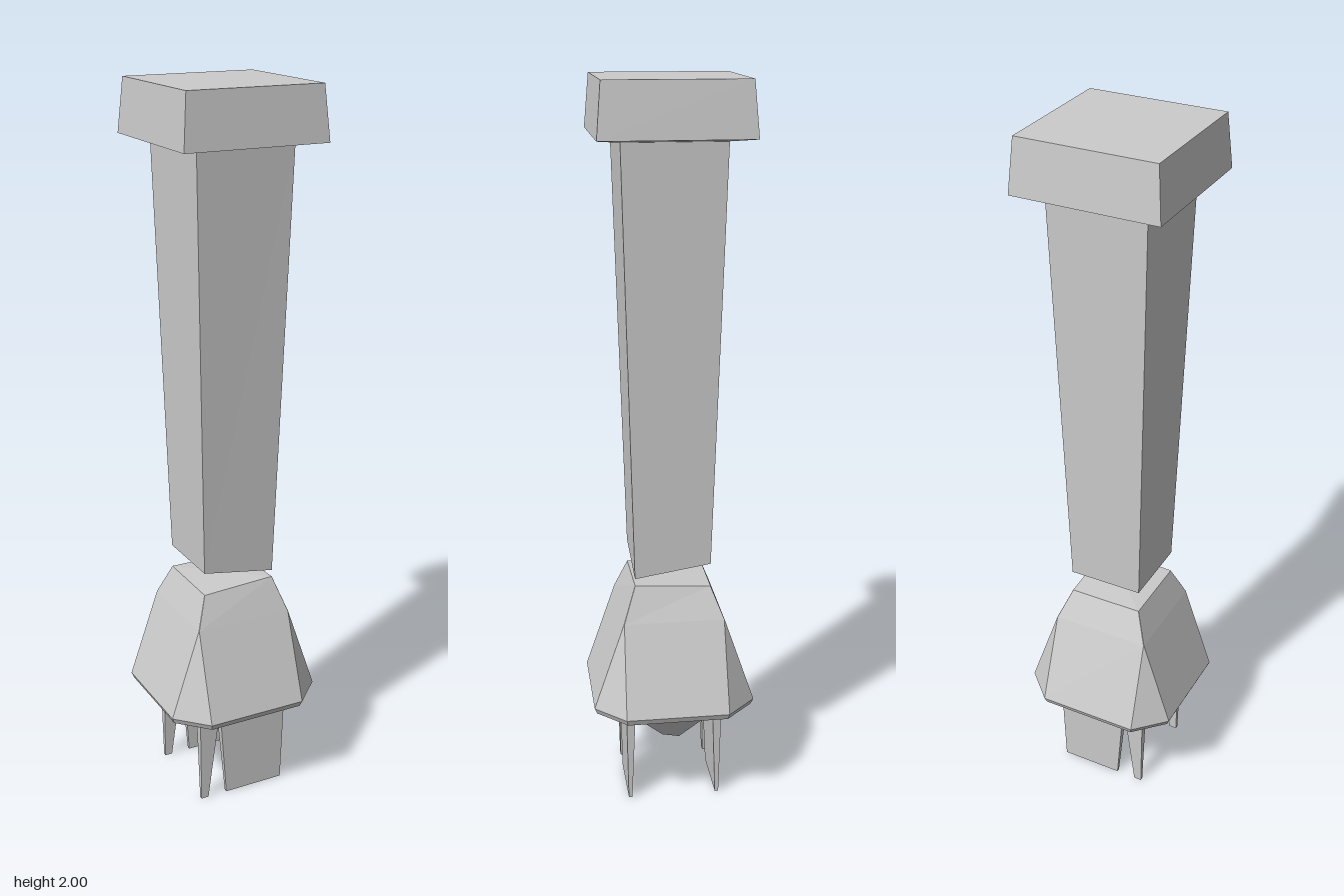
import * as THREE from 'three';

const material = new THREE.MeshStandardMaterial({ color: 0xcccccc, flatShading: true });

// Closed solid through rings of [x, y, z] points, listed bottom to top, counterclockwise from above
function loft(name, rings) {
  const n = rings[0].length, pos = [];
  const tri = (a, b, c) => pos.push(...a, ...b, ...c);
  for (let r = 0; r < rings.length - 1; r++) {
    const lo = rings[r], hi = rings[r + 1];
    for (let i = 0; i < n; i++) {
      const j = (i + 1) % n;
      tri(lo[i], lo[j], hi[j]);
      tri(lo[i], hi[j], hi[i]);
    }
  }
  const bottom = rings[0], top = rings[rings.length - 1];
  for (let i = 1; i < n - 1; i++) {
    tri(bottom[0], bottom[i + 1], bottom[i]);
    tri(top[0], top[i], top[i + 1]);
  }
  const g = new THREE.BufferGeometry();
  g.setAttribute('position', new THREE.Float32BufferAttribute(pos, 3));
  g.computeVertexNormals();
  const mesh = new THREE.Mesh(g, material);
  mesh.name = name;
  return mesh;
}

// Square ring; the +x +z corner may sit at its own height
const square = (h, y, y0 = y) => [[h, y0, h], [h, y, -h], [-h, y, -h], [-h, y, h]];

// Eight-point ring with cut corners: c is where the cut starts
const octagon = (h, c, y, y0 = y) => [
  [c, y0, h], [h, y0, c], [h, y, -c], [c, y, -h],
  [-c, y, -h], [-h, y, -c], [-h, y, c], [-c, y, h],
];

// Thin notched panel; side = 1 is the front, -1 the back
function panel(name, side) {
  const pts = [[-0.135, 0.265], [-0.13, 0], [-0.108, 0], [-0.077, 0.25],
    [-0.07, 0.245], [-0.05, 0], [0.128, 0], [0.135, 0.265]];
  const shape = new THREE.Shape(pts.map(([x, y]) => new THREE.Vector2(x * side, y)));
  const g = new THREE.ExtrudeGeometry(shape, { depth: 1, bevelEnabled: false });
  // Thins towards the foot
  const p = g.attributes.position;
  for (let i = 0; i < p.count; i++) {
    const t = p.getY(i) / 0.265;
    p.setZ(i, THREE.MathUtils.lerp(0.12 - 0.01 * t, 0.13 + 0.005 * t, p.getZ(i)));
  }
  g.computeVertexNormals();
  const mesh = new THREE.Mesh(g, material);
  mesh.name = name;
  if (side < 0) mesh.rotation.y = Math.PI;
  return mesh;
}

export function createModel() {
  const model = new THREE.Group();
  model.name = 'brokenPillar';

  // Square capital
  model.add(loft('capital', [square(0.14, 1.848), square(0.2, 1.857), square(0.188, 2)]));

  // Tapered shaft, broken off unevenly at its foot
  model.add(loft('shaft', [square(0.105, 0.704, 0.67), square(0.137, 1.85)]));

  // Flared base with cut lower corners and a broken top
  model.add(loft('flaredBase', [
    octagon(0.218, 0.139, 0.283),
    octagon(0.225, 0.143, 0.3),
    octagon(0.14, 0.139, 0.55),
    octagon(0.105, 0.1045, 0.638, 0.65),
  ]));

  // Splintered foot: plate, two notched panels and a blunt spike between them
  const foot = new THREE.Group();
  foot.name = 'splinteredFoot';
  const plate = new THREE.Mesh(new THREE.BoxGeometry(0.27, 0.015, 0.27), material);
  plate.name = 'footPlate';
  plate.position.y = 0.268;
  foot.add(plate, panel('frontPanel', 1), panel('backPanel', -1));
  foot.add(loft('hangingSpike', [
    [[0.03, 0.14, 0.02], [0.02, 0.125, -0.03], [-0.02, 0.15, -0.06], [-0.03, 0.135, 0.01]],
    square(0.108, 0.24, 0.245),
    square(0.109, 0.265),
  ]));
  model.add(foot);

  return model;
}
